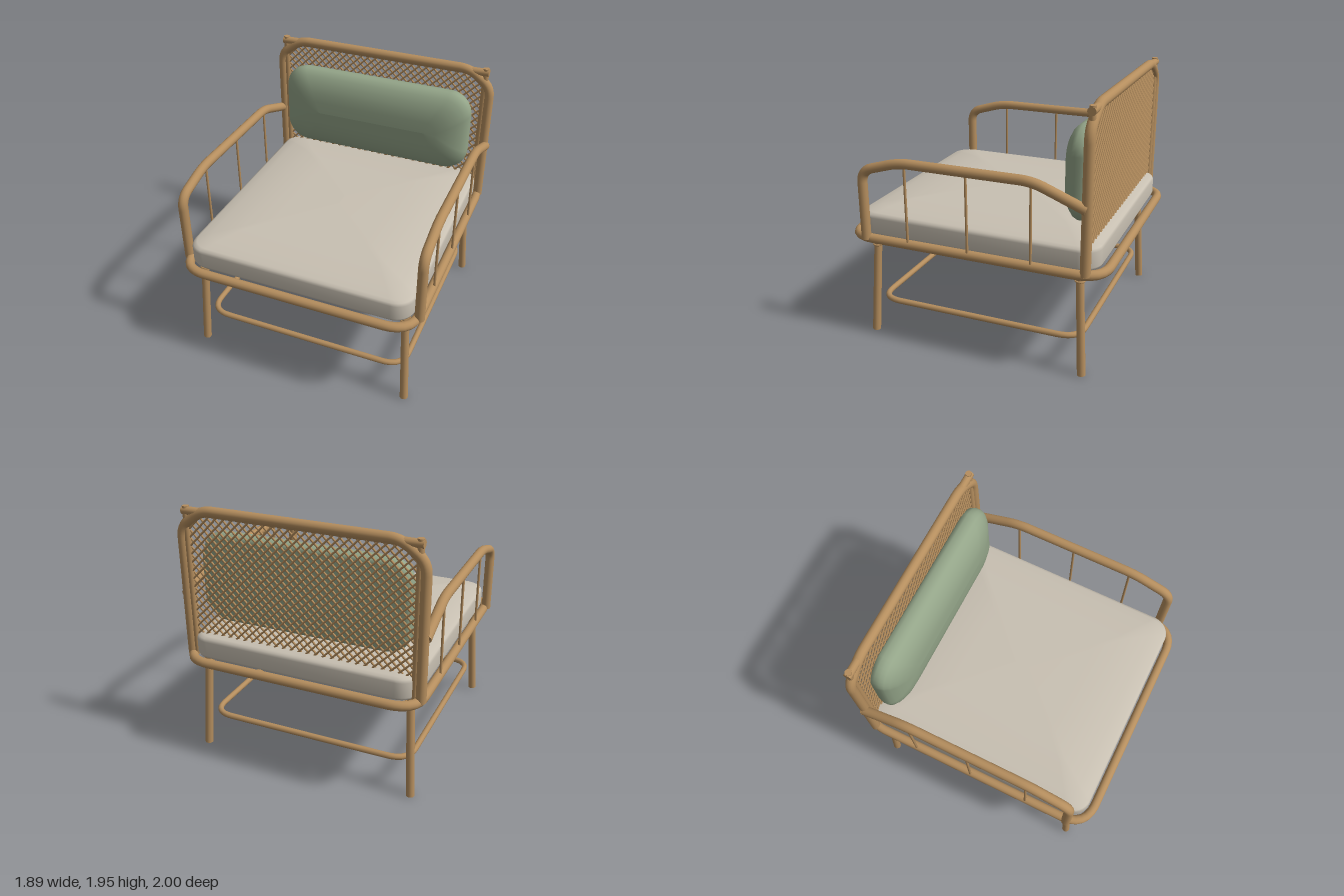
import * as THREE from 'three';

const material = (color, side = THREE.FrontSide) => new THREE.MeshStandardMaterial({ color, side });
const cane = material(0xb58e5e);
const caneOpen = material(0xb58e5e, THREE.DoubleSide);
const linen = material(0xc8c0b2);
const sage = material(0x93a488);
const V = (x, y, z) => new THREE.Vector3(x, y, z);

function add(parent, name, geometry, mat) {
  const mesh = new THREE.Mesh(geometry, mat);
  mesh.name = name;
  parent.add(mesh);
  return mesh;
}

// Polyline whose corners are rounded, starting `cut` away from each corner
function roundedPath(points, cut, closed) {
  const path = new THREE.CurvePath();
  const n = points.length;
  const toward = (a, b) => a.clone().add(b.clone().sub(a).setLength(Math.min(cut, a.distanceTo(b) * 0.45)));
  const start = closed ? toward(points[0], points[1]) : points[0];
  let last = start;
  for (let i = 1; i < (closed ? n + 1 : n - 1); i++) {
    const p = points[i % n];
    const before = toward(p, points[(i - 1) % n]);
    const after = toward(p, points[(i + 1) % n]);
    path.add(new THREE.LineCurve3(last, before));
    path.add(new THREE.QuadraticBezierCurve3(before, p, after));
    last = after;
  }
  if (!closed) path.add(new THREE.LineCurve3(last, points[n - 1]));
  return path;
}

// Bent cane pole, with flat ends when it is open
function pole(parent, name, points, cut, radius, closed = false, sides = 14) {
  const path = roundedPath(points, cut, closed);
  const group = new THREE.Group();
  group.name = name;
  parent.add(group);
  add(group, name + 'Tube', new THREE.TubeGeometry(path, 160, radius, sides, closed), cane);
  if (!closed) {
    for (const t of [0, 1]) {
      const cap = add(group, name + 'End', new THREE.CircleGeometry(radius, sides), caneOpen);
      cap.position.copy(path.getPointAt(t));
      cap.lookAt(cap.position.clone().add(path.getTangentAt(t)));
    }
  }
  return group;
}

// Straight round stick between two points
function stick(parent, name, a, b, ra, rb = ra, sides = 12) {
  const mesh = add(parent, name, new THREE.CylinderGeometry(rb, ra, a.distanceTo(b), sides), cane);
  mesh.position.copy(a).add(b).multiplyScalar(0.5);
  mesh.quaternion.setFromUnitVectors(V(0, 1, 0), b.clone().sub(a).normalize());
  return mesh;
}

const rectangle = (x, y, z) => [V(x, y, z), V(x, y, -z), V(-x, y, -z), V(-x, y, z)];

// Pillow: rounded-rectangle sections stacked by [inset, height]
function cushion(halfX, halfZ, radius, profile) {
  const arc = 8, count = 4 * (arc + 1);
  const positions = [], indices = [];
  for (const [inset, height] of profile) {
    const w = Math.max(halfX - inset, 0), d = Math.max(halfZ - inset, 0);
    const r = Math.min(Math.max(radius - inset * 0.4, 0.03), w, d);
    for (let c = 0; c < 4; c++) {
      const sx = c === 0 || c === 3 ? 1 : -1, sz = c < 2 ? -1 : 1;
      for (let k = 0; k <= arc; k++) {
        const a = (c + k / arc) * Math.PI / 2;
        positions.push(sx * (w - r) + r * Math.cos(a), height, sz * (d - r) - r * Math.sin(a));
      }
    }
  }
  for (let i = 0; i < profile.length - 1; i++) {
    for (let j = 0; j < count; j++) {
      const a = i * count + j, b = i * count + (j + 1) % count;
      indices.push(a, b, a + count, b, b + count, a + count);
    }
  }
  const geometry = new THREE.BufferGeometry();
  geometry.setAttribute('position', new THREE.Float32BufferAttribute(positions, 3));
  geometry.setIndex(indices);
  geometry.computeVertexNormals();
  return geometry;
}

export function createModel() {
  const chair = new THREE.Group();
  chair.name = 'caneArmchair';

  // Seat ring and the stretcher ring between the legs
  pole(chair, 'seatFrame', rectangle(0.895, 0.795, 0.965), 0.2, 0.035, true);
  pole(chair, 'stretcherRing', rectangle(0.8, 0.26, 0.79), 0.16, 0.022, true, 10);

  // Splayed legs with wrapped bindings at the top
  for (const sx of [1, -1]) {
    for (const sz of [1, -1]) {
      const foot = V(sx * 0.84, 0, sz * 0.83), top = V(sx * 0.8, 0.78, sz * 0.785);
      stick(chair, 'leg', foot, top, 0.031, 0.029);
      for (let i = 0; i < 3; i++) {
        const ring = add(chair, 'legBinding', new THREE.TorusGeometry(0.032, 0.007, 6, 18), cane);
        ring.position.lerpVectors(foot, top, (0.71 + i * 0.02) / 0.78);
        ring.rotation.x = Math.PI / 2;
      }
    }
  }

  // Arms with three spindles each
  for (const s of [1, -1]) {
    const x = s * 0.91;
    pole(chair, 'armRail', [V(x, 0.795, 0.815), V(x, 1.32, 0.815), V(x, 1.41, 0.51),
      V(x, 1.41, -0.48), V(x, 1.265, -0.85)], 0.09, 0.036);
    for (const z of [0.47, 0, -0.47]) {
      stick(chair, 'armSpindle', V(x, 0.82, z), V(x, 1.4, z), 0.01, 0.01, 8);
    }
  }

  // Back: bent outer hoop and a square inner frame
  const backZ = -0.85;
  pole(chair, 'backHoop', [V(0.893, 0.795, backZ), V(0.893, 1.785, backZ), V(0.72, 1.912, backZ),
    V(-0.72, 1.912, backZ), V(-0.893, 1.785, backZ), V(-0.893, 0.795, backZ)], 0.08, 0.037);
  for (const s of [1, -1]) {
    stick(chair, 'backInnerPost', V(s * 0.85, 0.8, backZ), V(s * 0.85, 1.935, backZ), 0.024);
  }
  stick(chair, 'backInnerRail', V(-0.875, 1.9, backZ), V(0.875, 1.9, backZ), 0.03);

  // Woven diagonal lattice, clipped to the inner frame
  const lattice = new THREE.Group();
  lattice.name = 'backLattice';
  chair.add(lattice);
  const halfW = 0.85, low = 0.82, high = 1.9;
  for (const s of [1, -1]) {
    for (let c = low - halfW + 0.03; c < high + halfW; c += 0.062) {
      const from = Math.max(-halfW, low - c), to = Math.min(halfW, high - c);
      if (to - from < 0.02) continue;
      const z = backZ + s * 0.004;
      stick(lattice, 'latticeStrand', V(s * from, from + c, z), V(s * to, to + c, z), 0.0075, 0.0075, 6);
    }
  }

  // Domed seat cushion
  const seat = add(chair, 'seatCushion', cushion(0.867, 0.922, 0.14, [
    [0.867, 0], [0.03, 0], [0.008, 0.01], [0, 0.03], [0, 0.14], [0.008, 0.162], [0.03, 0.175],
    [0.12, 0.198], [0.3, 0.222], [0.5, 0.23], [0.867, 0.235]]), linen);
  seat.position.y = 0.8;

  // Plump back cushion, its flat side resting on the lattice
  const back = add(chair, 'backCushion', cushion(0.79, 0.335, 0.18, [
    [0.335, 0], [0.04, 0], [0.012, 0.015], [0, 0.05], [0, 0.09], [0.012, 0.12], [0.04, 0.15],
    [0.09, 0.18], [0.16, 0.203], [0.24, 0.212], [0.335, 0.215]]), sage);
  back.rotation.x = Math.PI / 2;
  back.position.set(0, 1.412, -0.812);

  return chair;
}
